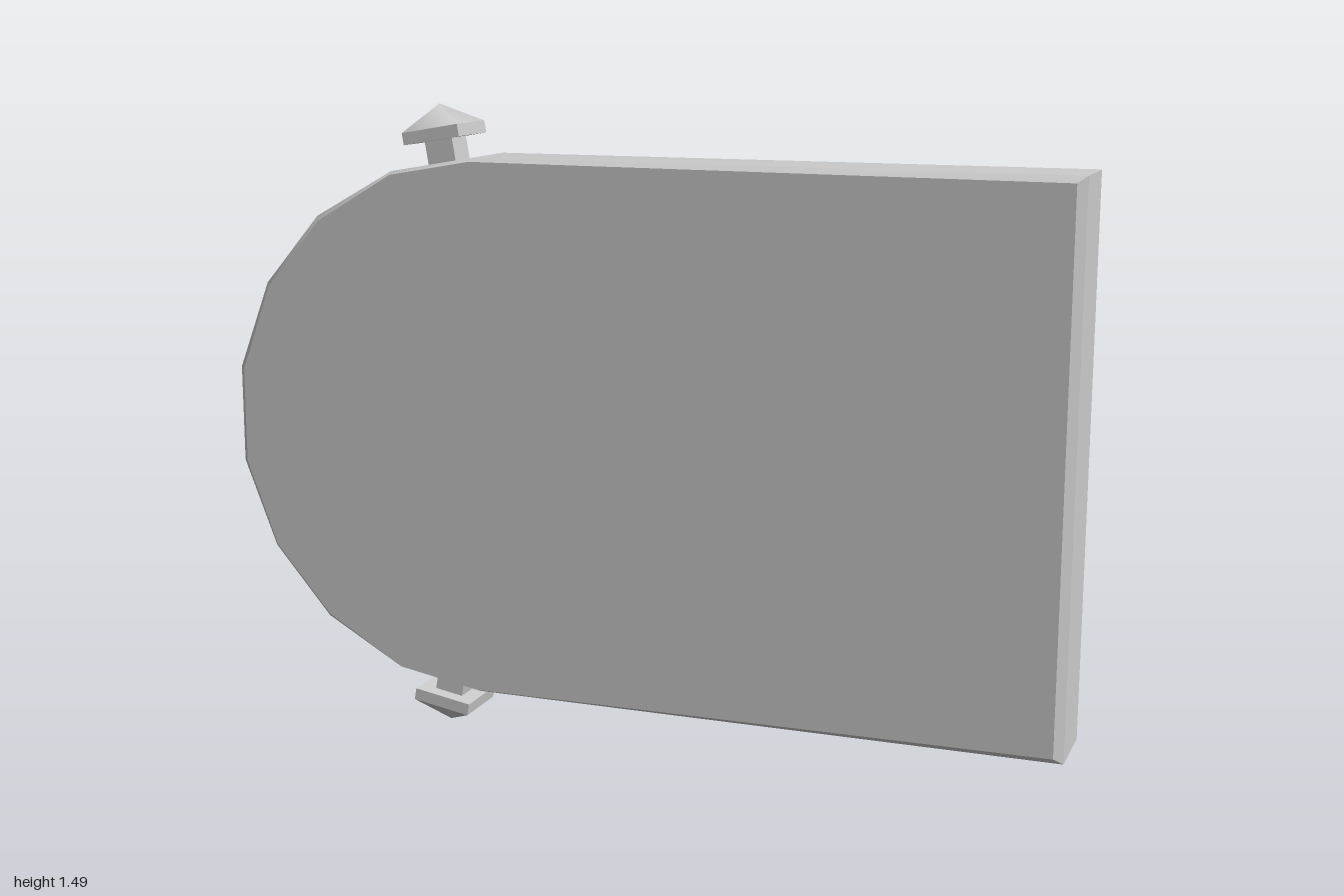
import * as THREE from 'three';
import { toCreasedNormals } from 'three/addons/utils/BufferGeometryUtils.js';

const MID = 0.745; // height of the mirror line

// Closed outline from its upper half, running anticlockwise seen from the front
function outline(upper) {
  const lower = [...upper].reverse().map(([x, y]) => [x, -y]);
  return [...upper, ...lower].map(([x, y]) => [x, y + MID]);
}

// Slab skinned through four outlines, with fan caps front and back
function slabGeometry(rim, face, rimZ, faceZ) {
  const rings = [[face, -faceZ], [rim, -rimZ], [rim, rimZ], [face, faceZ]]
    .map(([pts, z]) => pts.map(([x, y]) => [x, y, z]));
  const n = rim.length, pos = [];
  const tri = (a, b, c) => pos.push(...a, ...b, ...c);
  for (let r = 0; r < 3; r++) {
    for (let i = 0; i < n; i++) {
      const j = (i + 1) % n;
      const a = rings[r][i], b = rings[r][j], c = rings[r + 1][j], d = rings[r + 1][i];
      tri(a, b, c);
      tri(a, c, d);
    }
  }
  for (let i = 1; i < n - 1; i++) {
    tri(rings[3][0], rings[3][i], rings[3][i + 1]);
    tri(rings[0][0], rings[0][i + 1], rings[0][i]);
  }
  const g = new THREE.BufferGeometry();
  g.setAttribute('position', new THREE.Float32BufferAttribute(pos, 3));
  return toCreasedNormals(g, 0.4);
}

export function createModel() {
  const model = new THREE.Group();
  const material = new THREE.MeshStandardMaterial({ color: 0xcccccc });
  const add = (parent, name, geometry, y = 0) => {
    const mesh = new THREE.Mesh(geometry, material);
    mesh.name = name;
    mesh.position.y = y;
    parent.add(mesh);
  };

  // Rounded slab with a narrow chamfer
  const rim = outline([[1, 0.63], [-0.38, 0.63], [-0.585, 0.594], [-0.78, 0.485],
    [-0.92, 0.322], [-1, 0.115]]);
  const face = outline([[0.98, 0.615], [-0.38, 0.622], [-0.58, 0.587], [-0.77, 0.475],
    [-0.907, 0.315], [-0.983, 0.112]]);
  add(model, 'slab', slabGeometry(rim, face, 0.085, 0.103));

  // Pointed studs above and below, leaning outward from the round end
  for (const side of [1, -1]) {
    const stud = new THREE.Group();
    stud.name = side > 0 ? 'upperStud' : 'lowerStud';
    stud.position.set(-0.491, MID + side * 0.664, -0.009);
    stud.rotation.z = side > 0 ? 0.17 : Math.PI - 0.17;
    add(stud, 'stem', new THREE.BoxGeometry(0.07, 0.09, 0.075), -0.043);
    add(stud, 'plate', new THREE.BoxGeometry(0.142, 0.028, 0.147), 0.014);
    const point = new THREE.ConeGeometry(0.147 / Math.SQRT2, 0.054, 4);
    point.rotateY(Math.PI / 4);
    point.scale(0.142 / 0.147, 1, 1);
    add(stud, 'point', point, 0.055);
    model.add(stud);
  }
  return model;
}
